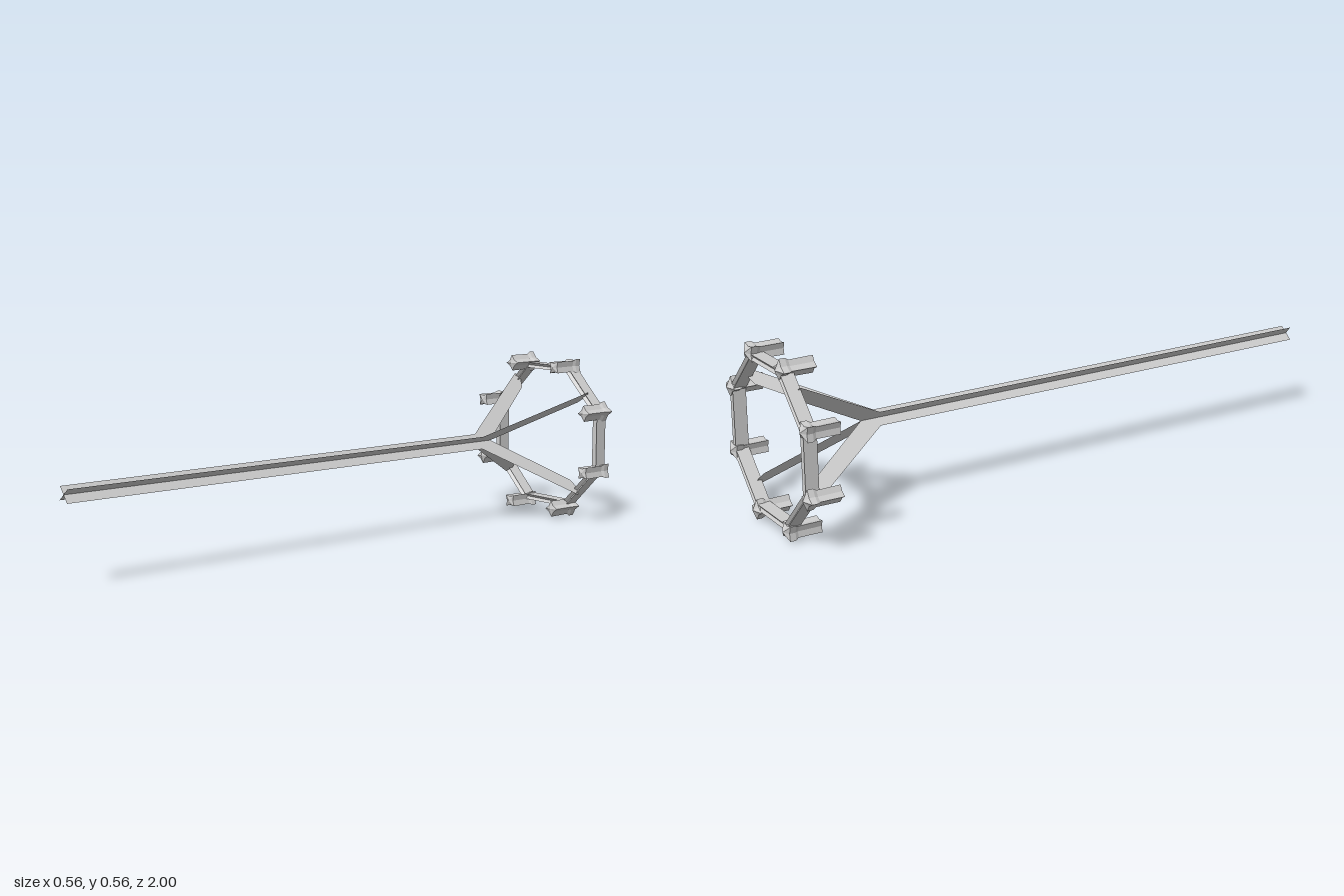
import * as THREE from 'three';

const grey = new THREE.MeshStandardMaterial({ color: 0xcccccc, flatShading: true });
const sheet = new THREE.MeshStandardMaterial({ color: 0xcccccc, flatShading: true, side: THREE.DoubleSide });

// Maps a flat (radius, z) outline onto the plane through the z axis at the given angle
function radialBasis(angle) {
  const c = Math.cos(angle), s = Math.sin(angle);
  return new THREE.Matrix4().makeBasis(
    new THREE.Vector3(c, s, 0), new THREE.Vector3(0, 0, 1), new THREE.Vector3(s, -c, 0));
}

const outline = (pts) => new THREE.Shape(pts.map(([x, y]) => new THREE.Vector2(x, y)));

function addMesh(parent, name, geometry, material) {
  const mesh = new THREE.Mesh(geometry, material);
  mesh.name = name;
  parent.add(mesh);
  return mesh;
}

// Gripping block: a four-cornered, grooved section lofted along z with a flared, pointed back
function blockGeometry() {
  const stations = [
    [-0.872, 0.001], [-0.878, 0.88], [-0.955, 0.85], [-0.965, 1.08], [-0.984, 1.08], [-0.998, 0.001],
  ];
  const n = 8;
  const point = (i, j) => {
    const [z, scale] = stations[i];
    const r = (j % 2 ? 0.017 : 0.031) * scale;
    const a = Math.PI / 4 + (j / n) * Math.PI * 2;
    return [r * Math.cos(a), r * Math.sin(a), z];
  };
  const positions = [];
  for (let i = 0; i < stations.length - 1; i++) {
    for (let j = 0; j < n; j++) {
      const p = point(i, j), q = point(i, j + 1), r = point(i + 1, j), s = point(i + 1, j + 1);
      positions.push(...p, ...r, ...q, ...q, ...r, ...s);
    }
  }
  const geometry = new THREE.BufferGeometry();
  geometry.setAttribute('position', new THREE.Float32BufferAttribute(positions, 3));
  geometry.computeVertexNormals();
  return geometry;
}

export function createModel() {
  const model = new THREE.Group();
  model.name = 'forkedPole';

  // Two crossed sheets make the pole, each splitting into a pair of arms
  const fork = outline([
    [0.03, 1], [0.03, -0.62], [0.255, -0.945], [0.235, -0.96], [0.195, -0.945], [0, -0.675],
    [-0.195, -0.945], [-0.235, -0.96], [-0.255, -0.945], [-0.03, -0.62], [-0.03, 1],
  ]);
  const pole = new THREE.Group();
  pole.name = 'poleAndArms';
  pole.position.set(0.005, 0.295, 0);
  for (const degrees of [39.5, 129]) {
    const geometry = new THREE.ShapeGeometry(fork);
    geometry.applyMatrix4(radialBasis(THREE.MathUtils.degToRad(degrees)));
    addMesh(pole, 'forkSheet', geometry, sheet);
  }
  model.add(pole);

  // Octagonal ring of bars, grooved front and back
  const apothem = 0.236, length = 2 * apothem * Math.tan(Math.PI / 8);
  const section = outline([
    [-0.009, -0.985], [0, -0.978], [0.009, -0.985], [0.009, -0.942], [0, -0.952], [-0.009, -0.942],
  ]);
  const ring = new THREE.Group();
  ring.name = 'ring';
  ring.position.set(0.003, 0.292, 0);
  for (let i = 0; i < 8; i++) {
    const geometry = new THREE.ExtrudeGeometry(section, { depth: length, bevelEnabled: false });
    geometry.translate(apothem, 0, -length / 2);
    geometry.applyMatrix4(radialBasis((i * Math.PI) / 4));
    addMesh(ring, 'ringBar', geometry, grey);
  }
  model.add(ring);

  // One block at each corner, turning with the ring
  const blocks = new THREE.Group();
  blocks.name = 'blocks';
  blocks.position.set(0, 0.292, 0);
  const geometry = blockGeometry();
  for (let i = 0; i < 8; i++) {
    const a = ((i + 0.5) * Math.PI) / 4;
    const block = addMesh(blocks, 'cornerBlock', geometry, grey);
    block.position.set(0.267 * Math.cos(a), 0.267 * Math.sin(a), 0);
    block.rotation.z = ((i - 1) * Math.PI) / 4 + 0.08;
  }
  model.add(blocks);

  return model;
}
